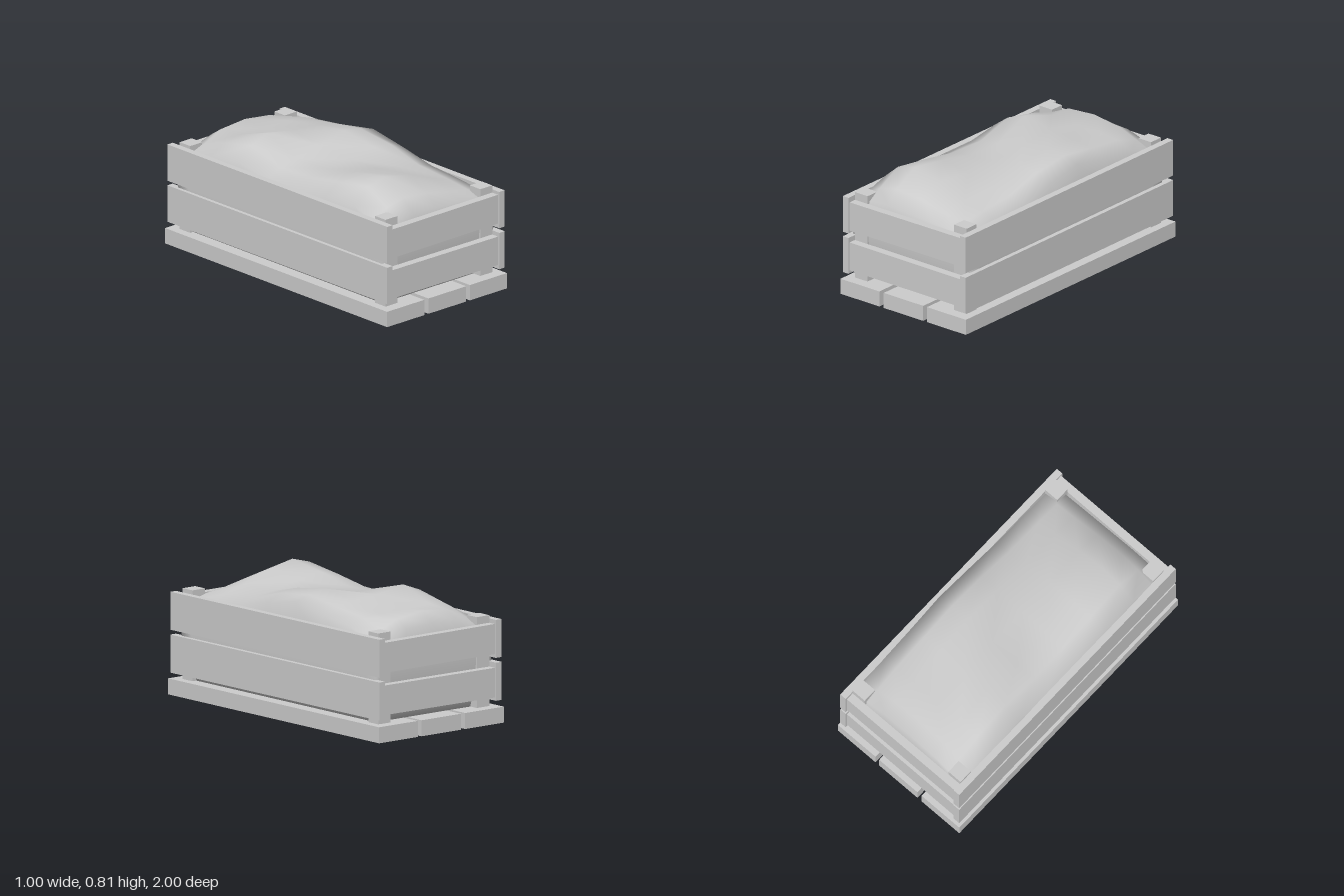
import * as THREE from 'three';

const material = new THREE.MeshStandardMaterial({ color: 0xcccccc });

function box(name, x0, x1, y0, y1, z0, z1) {
  const mesh = new THREE.Mesh(new THREE.BoxGeometry(x1 - x0, y1 - y0, z1 - z0), material);
  mesh.position.set((x0 + x1) / 2, (y0 + y1) / 2, (z0 + z1) / 2);
  mesh.name = name;
  return mesh;
}

// Lumpy filling: a coarse height field on top, with bulging side walls down to the floor
function createFilling() {
  const xs = [-0.445, -0.335, -0.2, 0, 0.2, 0.335, 0.44];
  const zs = [0.91, 0.82, 0.65, 0.38, 0.13, -0.14, -0.4, -0.65, -0.82, -0.91];
  const heights = [
    [0.60, 0.63, 0.64, 0.63, 0.62, 0.61, 0.59],
    [0.63, 0.69, 0.72, 0.70, 0.66, 0.64, 0.61],
    [0.68, 0.775, 0.81, 0.77, 0.70, 0.66, 0.63],
    [0.66, 0.74, 0.77, 0.74, 0.70, 0.68, 0.65],
    [0.64, 0.70, 0.72, 0.73, 0.76, 0.745, 0.70],
    [0.64, 0.69, 0.71, 0.75, 0.795, 0.775, 0.745],
    [0.68, 0.76, 0.81, 0.775, 0.76, 0.74, 0.70],
    [0.65, 0.71, 0.73, 0.72, 0.72, 0.71, 0.67],
    [0.62, 0.66, 0.72, 0.735, 0.71, 0.66, 0.62],
    [0.59, 0.62, 0.66, 0.67, 0.66, 0.62, 0.59],
  ];
  const nx = xs.length, nz = zs.length, pos = [], index = [];
  heights.forEach((row, r) => row.forEach((h, c) => pos.push(xs[c], h, zs[r])));
  for (let r = 0; r < nz - 1; r++) {
    for (let c = 0; c < nx - 1; c++) {
      const a = r * nx + c, d = a + nx;
      index.push(a, a + 1, d, a + 1, d + 1, d);
    }
  }
  // Rim of the height field, counterclockwise from above
  let ring = [];
  for (let c = 0; c < nx - 1; c++) ring.push(c);
  for (let r = 0; r < nz - 1; r++) ring.push(r * nx + nx - 1);
  for (let c = nx - 1; c > 0; c--) ring.push((nz - 1) * nx + c);
  for (let r = nz - 1; r > 0; r--) ring.push(r * nx);
  const rim = ring.map((i) => [pos[i * 3], pos[i * 3 + 2]]);
  // Each level: height, scale in x, scale in z
  for (const [y, sx, sz] of [[0.5, 1.03, 1.01], [0.39, 1.05, 1.01], [0.22, 1.02, 0.99], [0.1, 0.94, 0.95]]) {
    const next = rim.map(([x, z]) => pos.push(x * sx, y, z * sz) / 3 - 1);
    next.forEach((low, i) => {
      const j = (i + 1) % next.length;
      index.push(ring[i], low, next[j], ring[i], next[j], ring[j]);
    });
    ring = next;
  }
  // Underside
  const centre = pos.push(0, 0.1, 0) / 3 - 1;
  ring.forEach((v, i) => index.push(centre, ring[(i + 1) % ring.length], v));

  const geometry = new THREE.BufferGeometry();
  geometry.setAttribute('position', new THREE.Float32BufferAttribute(pos, 3));
  geometry.setIndex(index);
  geometry.computeVertexNormals();
  const mesh = new THREE.Mesh(geometry, material);
  mesh.name = 'filling';
  return mesh;
}

export function createModel() {
  const group = new THREE.Group();
  group.name = 'filledCrate';

  // Floor planks
  for (const [x0, x1] of [[-0.5, -0.19], [-0.155, 0.16], [0.19, 0.5]]) {
    group.add(box('floorPlank', x0, x1, 0, 0.1, -1, 1));
  }

  // Corner posts
  for (const sx of [-1, 1]) {
    for (const sz of [-1, 1]) {
      const x = sx * 0.395, z = sz * 0.88;
      group.add(box('cornerPost', x - 0.05, x + 0.05, 0.1, 0.667, z - 0.047, z + 0.047));
    }
  }

  // Long side planks and short end planks, two high and slightly uneven
  for (const s of [-1, 1]) {
    const x = s * 0.4675, z = s * 0.953, drop = s * 0.003;
    for (const [y0, y1] of [[0.14, 0.378], [0.408, 0.645]]) {
      const side = box('sidePlank', x - 0.0225, x + 0.0225, y0 - drop, y1 - drop, -0.99, 0.99);
      side.rotation.x = s * 0.0015;
      group.add(side);
    }
    for (const [y0, y1, tilt] of [[0.163, 0.348, -0.004], [0.43, 0.618, 0.004]]) {
      const end = box('endPlank', -0.445, 0.445, y0, y1, z - 0.026, z + 0.026);
      end.rotation.z = s * tilt;
      group.add(end);
    }
  }

  group.add(createFilling());
  return group;
}
